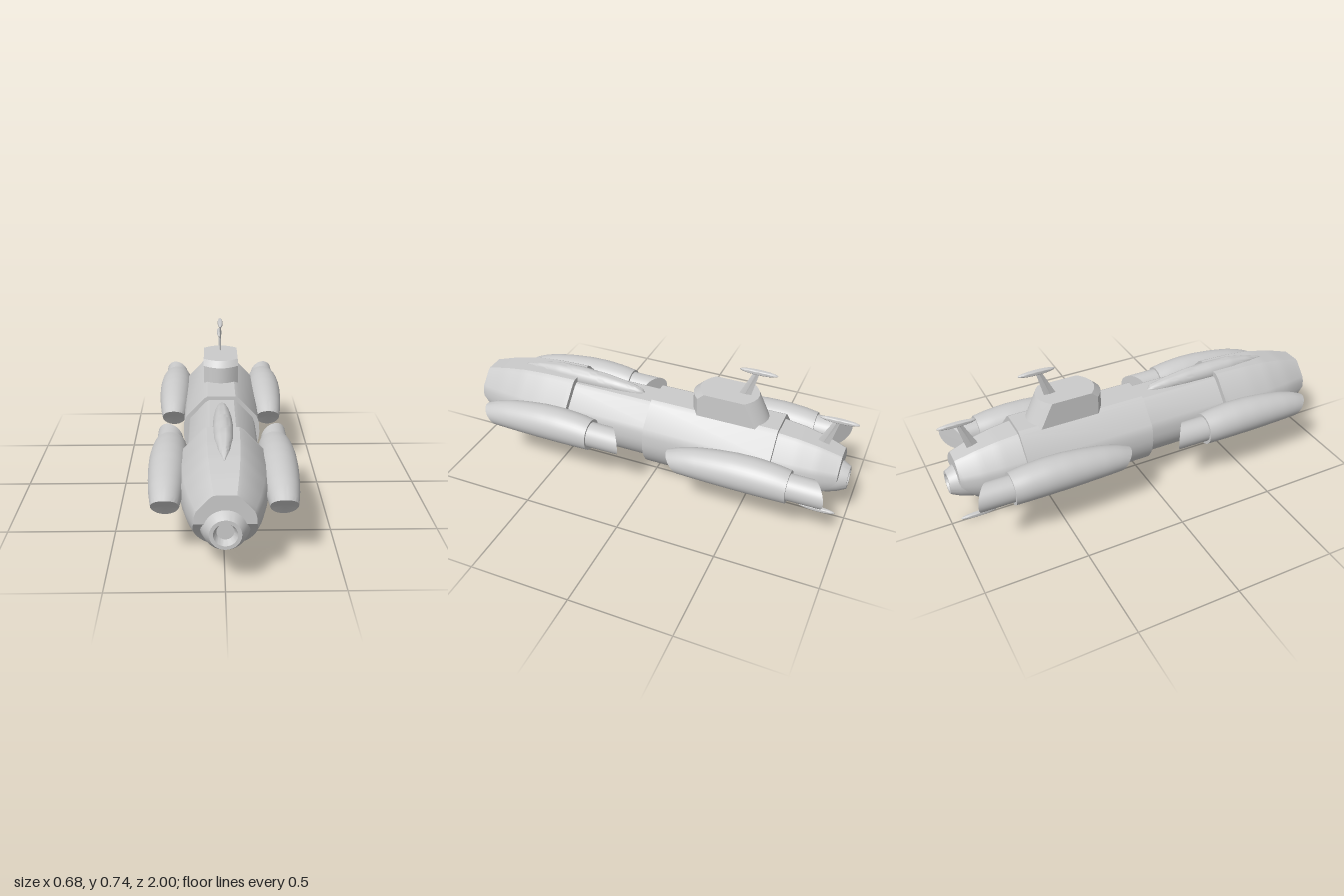
import * as THREE from 'three';
import { toCreasedNormals } from 'three/addons/utils/BufferGeometryUtils.js';

const material = new THREE.MeshStandardMaterial({ color: 0xcccccc });

function part(name, geometry, crease = 0.5) {
  const mesh = new THREE.Mesh(toCreasedNormals(geometry, crease), material);
  mesh.name = name;
  return mesh;
}

// Skin a list of closed rings (arrays of Vector3) and cap both ends with fans
function skin(rings) {
  const pos = [];
  const tri = (...pts) => pts.forEach((p) => pos.push(p.x, p.y, p.z));
  const n = rings[0].length;
  for (let i = 0; i < rings.length - 1; i++) {
    for (let j = 0; j < n; j++) {
      const k = (j + 1) % n;
      const [a, b, c, d] = [rings[i][j], rings[i][k], rings[i + 1][k], rings[i + 1][j]];
      tri(a, b, c);
      tri(a, c, d);
    }
  }
  const cap = (ring, flip) => {
    // centre sits midway between the two side points, so bent end faces stay flat
    const mid = ring[0].clone().add(ring[ring.sideIndex]).multiplyScalar(0.5);
    for (let j = 0; j < n; j++) {
      const k = (j + 1) % n;
      flip ? tri(mid, ring[k], ring[j]) : tri(mid, ring[j], ring[k]);
    }
  };
  cap(rings[0], true);
  cap(rings[rings.length - 1], false);
  const g = new THREE.BufferGeometry();
  g.setAttribute('position', new THREE.Float32BufferAttribute(pos, 3));
  return g;
}

// Linear lookup in rows [z, centreY, radius], z ascending
function at(rows, z) {
  let i = 0;
  while (i < rows.length - 2 && z > rows[i + 1][0]) i++;
  const [a, b] = [rows[i], rows[i + 1]];
  const t = (z - a[0]) / (b[0] - a[0]);
  return [a[1] + (b[1] - a[1]) * t, a[2] + (b[2] - a[2]) * t];
}

// Body along z; the end functions give the cut position for each section point
function body(section, rows, zBack, zFront, x = 0, steps = 20) {
  const rings = [];
  for (let i = 0; i <= steps; i++) {
    const ring = section.map(([px, py]) => {
      const z0 = zBack(px, py);
      const z = z0 + ((zFront(px, py) - z0) * i) / steps;
      const [cy, r] = at(rows, z);
      return new THREE.Vector3(x + px * r, cy + py * r, z);
    });
    ring.sideIndex = section.sideIndex;
    rings.push(ring);
  }
  return skin(rings);
}

function circle(n) {
  const pts = [];
  for (let i = 0; i < n; i++) {
    const a = (i / n) * Math.PI * 2;
    pts.push([Math.cos(a), Math.sin(a)]);
  }
  pts.sideIndex = n / 2;
  return pts;
}

// Hull section: faceted roof over a round belly
function hullSection() {
  const right = [[1, 0], [0.985, 0.25], [0.92, 0.44], [0.46, 0.93], [0.36, 0.99]];
  const pts = [...right, ...right.map(([x, y]) => [-x, y]).reverse()];
  pts.sideIndex = pts.length - 1;
  for (let i = 1; i < 32; i++) {
    const a = Math.PI + (i / 32) * Math.PI;
    pts.push([Math.cos(a), Math.sin(a)]);
  }
  return pts;
}

// Recessed nozzle, open end towards +y before rotation
function nozzle(name, y, z, dir, profile) {
  const g = new THREE.LatheGeometry(profile.map(([r, h]) => new THREE.Vector2(r, h)), 40);
  g.rotateX((dir * Math.PI) / 2);
  g.translate(0, y, z);
  return part(name, g);
}

// Engine pod: swelling body with a slanted mouth, and a narrower slanted tailpipe
function pod(side, name) {
  const g = new THREE.Group();
  g.name = name;
  const rows = [[0.25, 0.078], [0.32, 0.084], [0.42, 0.088], [0.52, 0.087], [0.62, 0.082],
    [0.72, 0.074], [0.8, 0.063], [0.86, 0.05]].map(([z, r]) => [z, 0.24 + r, r]);
  const round = circle(40);
  g.add(part('podBody', body(round, rows, () => 0.25, (px, py) => 0.815 + 0.04 * py, side * 0.25)));
  g.add(part('podTailpipe', body(round, [[0, 0.321, 0.062], [0.35, 0.321, 0.064]],
    (px) => 0.12 - 0.043 * px * side, () => 0.3, side * 0.253, 2)));
  return g;
}

// Plan outline of the tower: straight sides, bowed front and rear
function towerRing(y, zRear, zFront) {
  const w = 0.09, bow = 0.045, n = 14, ring = [];
  for (let i = 0; i <= n; i++) {
    const u = 1 - (2 * i) / n;
    ring.push(new THREE.Vector3(w * u, y, zRear + bow * u * u));
  }
  for (let i = 0; i <= n; i++) {
    const u = -1 + (2 * i) / n;
    ring.push(new THREE.Vector3(w * u, y, zFront - bow * u * u));
  }
  ring.sideIndex = n + 1;
  return ring;
}

// Raked thin strut carrying a slender pointed bulb
function antenna(name) {
  const g = new THREE.Group();
  g.name = name;
  const blade = (y, zRear, zFront) => {
    const mid = (zRear + zFront) / 2;
    const ring = [[0.005, mid], [0, zRear], [-0.005, mid], [0, zFront]]
      .map(([x, z]) => new THREE.Vector3(x, y, z));
    ring.sideIndex = 2;
    return ring;
  };
  g.add(part('antennaStrut', skin([blade(-0.16, 0.035, 0.1), blade(0, -0.005, 0.022)])));
  const bulb = new THREE.SphereGeometry(1, 24, 16);
  bulb.scale(0.014, 0.013, 0.092);
  g.add(part('antennaBulb', bulb, 1));
  return g;
}

export function createModel() {
  const model = new THREE.Group();
  model.name = 'ship';
  const hull = hullSection();
  const chin = (z, depth) => (px, py) => z - depth * Math.max(0, -py);

  // Hull sections from bow to stern
  model.add(part('bowHull', body(hull, [[0.42, 0.288, 0.206], [0.6, 0.289, 0.2], [0.72, 0.29, 0.188],
    [0.84, 0.291, 0.164], [0.96, 0.293, 0.128]], () => 0.425, chin(0.96, 0.12))));
  model.add(part('midHull', body(hull, [[-0.1, 0.296, 0.17], [0.5, 0.296, 0.17]], () => -0.1, () => 0.5, 0, 1)));
  model.add(part('aftHull', body(hull, [[-0.645, 0.292, 0.193], [0, 0.292, 0.193]], () => -0.645, () => 0, 0, 1)));
  model.add(part('sternHull', body(hull, [[-0.95, 0.291, 0.107], [-0.85, 0.291, 0.139], [-0.75, 0.293, 0.158],
    [-0.6, 0.295, 0.174]], chin(-0.95, -0.1), () => -0.6)));

  // Nozzles at both ends
  model.add(nozzle('bowNozzle', 0.265, 0, 1, [[0.122, 0.78], [0.114, 0.87], [0.104, 0.92], [0.09, 0.96],
    [0.066, 1], [0.05, 1], [0.036, 0.97], [0, 0.97]]));
  model.add(nozzle('sternNozzle', 0.258, 0, -1, [[0.106, 0.78], [0.1, 0.86], [0.09, 0.91], [0.076, 0.95],
    [0.056, 0.99], [0.042, 0.99], [0.031, 0.965], [0, 0.965]]));

  // Teardrop spine on the bow roof
  const spine = [[0.065, 0.462, 0.001], [0.075, 0.463, 0.014], [0.1, 0.464, 0.023], [0.17, 0.467, 0.034],
    [0.28, 0.472, 0.043], [0.42, 0.475, 0.048], [0.55, 0.477, 0.043], [0.66, 0.475, 0.026], [0.75, 0.472, 0.001]];
  model.add(part('spine', body(circle(28), spine, () => 0.065, () => 0.75, 0, 40), 0.8));

  // Engine pods, front and rear pairs
  for (const side of [1, -1]) {
    const label = side > 0 ? 'left' : 'right';
    const front = pod(side, label + 'FrontPod');
    const rear = pod(side, label + 'RearPod');
    rear.position.z = -1.01;
    model.add(front, rear);
  }

  // Tower with a chamfered front edge
  model.add(part('tower', skin([towerRing(0.45, -0.592, -0.2), towerRing(0.565, -0.537, -0.2),
    towerRing(0.595, -0.522, -0.232)])));

  // Antennas on the tower, stern roof and stern keel
  [['towerAntenna', 0.727, -0.51, 1], ['sternAntenna', 0.564, -0.907, 1], ['keelAntenna', 0.015, -0.862, -1]]
    .forEach(([name, y, z, up]) => {
      const a = antenna(name);
      a.position.set(0, y, z);
      if (up < 0) a.scale.y = -1;
      model.add(a);
    });
  return model;
}
